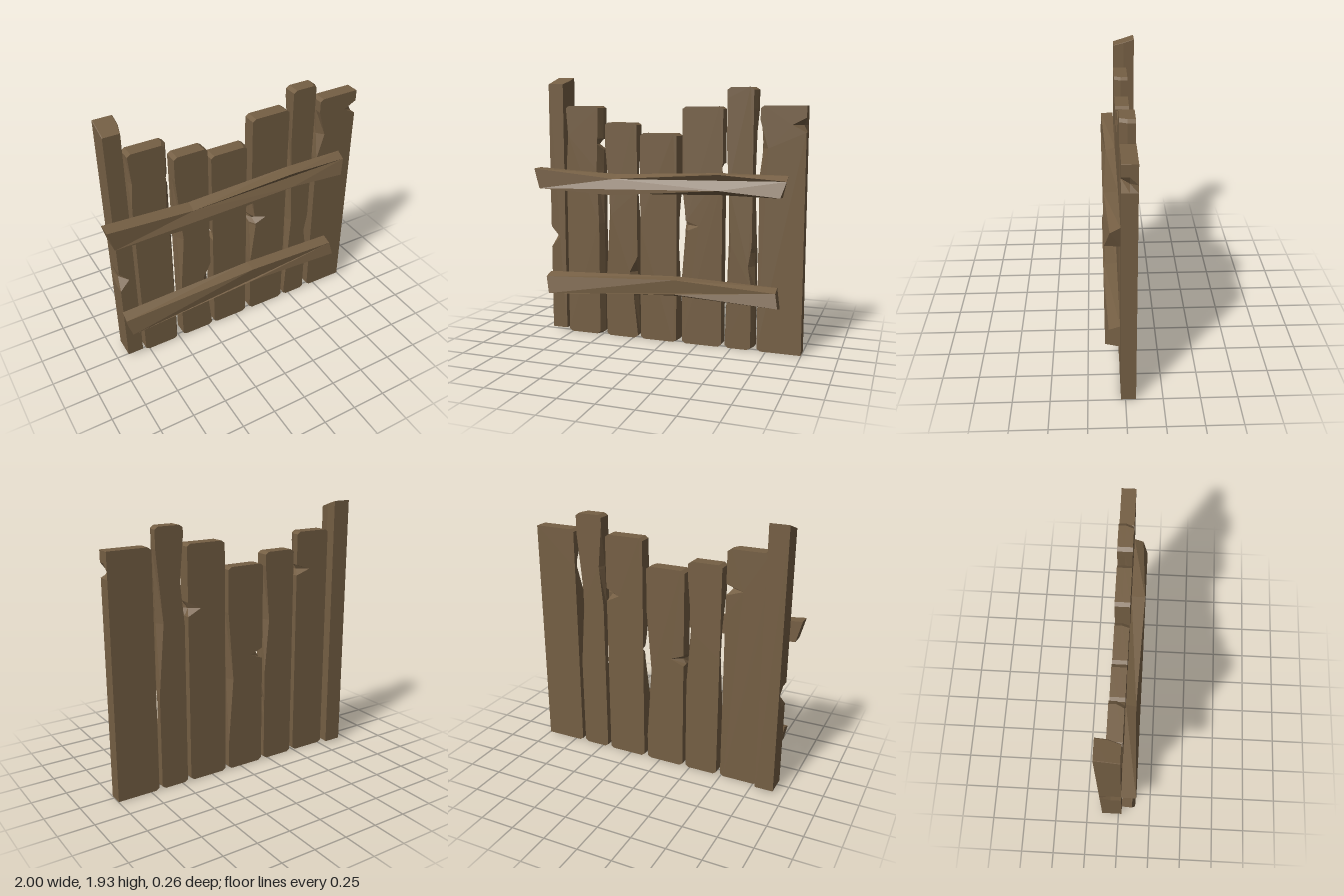
import * as THREE from 'three';

// Solid through matching outlines, listed front to back, each counter-clockwise from +z.
function layeredSolid(layers) {
  const pos = [];
  const tri = (a, b, c) => pos.push(...a, ...b, ...c);
  const cap = (pts, flip) => {
    const flat = pts.map(p => new THREE.Vector2(p[0], p[1]));
    for (const [a, b, c] of THREE.ShapeUtils.triangulateShape(flat, [])) {
      if (flip) tri(pts[a], pts[c], pts[b]);
      else tri(pts[a], pts[b], pts[c]);
    }
  };
  cap(layers[0], false);
  cap(layers[layers.length - 1], true);
  for (let k = 0; k < layers.length - 1; k++) {
    const f = layers[k], r = layers[k + 1];
    f.forEach((p, i) => {
      const j = (i + 1) % f.length;
      tri(p, r[i], f[j]);
      tri(f[j], r[i], r[j]);
    });
  }
  const geo = new THREE.BufferGeometry();
  geo.setAttribute('position', new THREE.Float32BufferAttribute(pos, 3));
  geo.computeVertexNormals();
  return geo;
}

// Wear on a board edge: a tent-shaped bite, deepest on the front (or back) face.
const wear = (y, span, depth, face = 'front') => ({ y, span, depth, face });

function wearDepth(marks, y, t) {
  let sum = 0;
  for (const m of marks) {
    const reach = m.face === 'front' ? 1 - t : t;
    sum += m.depth * reach * reach * Math.max(0, 1 - Math.abs(y - m.y) / m.span);
  }
  return sum;
}

// Upright board with clipped corners, a bevelled right edge, a sloping top and worn sides.
function board({ x0, x1, top, bottom = 0, front = 0.03, back = -0.07, slope = 0,
  clip = 0.025, clipRight = clip, bevel = 0, left = [], right = [] }) {
  return layeredSolid([0, 0.5, 1].map(t => {
    const z = front + (back - front) * t;
    const yTop = top - slope * (1 - t);
    const edge = (x, inward, cut, inset, marks) => {
      const ys = marks.flatMap(m => [m.y - m.span, m.y, m.y + m.span]).sort((a, b) => a - b);
      const at = y => [x + inward * (inset + wearDepth(marks, y, t)), y, z];
      const corner = y => [x + inward * (inset + cut), y, z];
      return [corner(bottom), ...[bottom + cut * 0.7, ...ys, yTop - cut * 0.7].map(at), corner(yTop)];
    };
    return [
      ...edge(x1, -1, clipRight, t === 0 ? bevel : 0, right),
      ...edge(x0, 1, clip, 0, left).reverse(),
    ];
  }));
}

// Cross rail through stations: top and bottom heights, underside lift and top bevel at the front.
function rail(stations) {
  const rev = [...stations].reverse();
  return layeredSolid([
    [...stations.map(s => [s.xb ?? s.x, s.bottom + s.lift, 0.13]),
      ...rev.map(s => [s.x, s.top - s.bevel, 0.13 - s.bevel])],
    [...stations.map(s => [s.xb ?? s.x, s.bottom, 0.03]), ...rev.map(s => [s.x, s.top, 0.03])],
  ]);
}

export function createModel() {
  const group = new THREE.Group();
  const wood = new THREE.MeshStandardMaterial({ color: 0x755f44 });
  wood.name = 'weathered wood';
  const add = (name, geo) => {
    const mesh = new THREE.Mesh(geo, wood);
    mesh.name = name;
    group.add(mesh);
  };

  // Tall post with a slanted top, nicked on its outer edge
  add('post', board({
    x0: -0.92, x1: -0.785, top: 1.93, bottom: 0.02, front: 0.025, back: -0.13,
    slope: 0.05, clip: 0.004, bevel: 0.018, left: [wear(0.73, 0.08, 0.07)],
  }));

  // Six worn planks with hollows and splits along their edges
  const planks = [
    { x0: -0.778, x1: -0.495, top: 1.72, bevel: 0.025,
      left: [wear(1.5, 0.2, 0.015)],
      right: [wear(1.25, 0.4, 0.015), wear(1.44, 0.04, 0.12, 'back')] },
    { x0: -0.463, x1: -0.215, top: 1.6,
      left: [wear(0.92, 0.5, 0.042)],
      right: [wear(0.32, 0.28, 0.03), wear(0.5, 0.12, 0.05), wear(1.1, 0.4, 0.035, 'back')] },
    { x0: -0.19, x1: 0.102, top: 1.525, bevel: 0.014,
      left: [wear(0.86, 0.04, 0.1, 'back')],
      right: [wear(0.7, 0.5, 0.04, 'back')] },
    { x0: 0.132, x1: 0.426, top: 1.715,
      left: [wear(0.82, 0.32, 0.04), wear(0.87, 0.035, 0.09)],
      right: [wear(1.27, 0.05, 0.1, 'back')] },
    { x0: 0.455, x1: 0.66, top: 1.845, bevel: 0.02,
      left: [wear(0.75, 0.7, 0.035), wear(1.47, 0.3, 0.03, 'back')],
      right: [wear(0.6, 0.15, 0.025), wear(1.2, 0.5, 0.045, 'back')] },
    { x0: 0.687, x1: 0.998, top: 1.72, clipRight: 0.002,
      left: [wear(1.43, 0.19, 0.055)],
      right: [wear(1.59, 0.05, 0.095)] },
  ];
  planks.forEach((p, i) => add('plank' + (i + 1), board(p)));

  // Two crooked cross rails on the front
  add('upperRail', rail([
    { x: -1, xb: -0.96, top: 1.26, bottom: 1.11, lift: 0, bevel: 0.003 },
    { x: -0.37, top: 1.225, bottom: 1.08, lift: 0, bevel: 0.03 },
    { x: 0.42, top: 1.255, bottom: 1.1, lift: 0.04, bevel: 0.005 },
    { x: 0.885, xb: 0.85, top: 1.25, bottom: 1.1, lift: 0.005, bevel: 0.035 },
  ]));
  add('lowerRail', rail([
    { x: -0.93, xb: -0.9, top: 0.46, bottom: 0.31, lift: 0, bevel: 0.025 },
    { x: 0.1, top: 0.495, bottom: 0.35, lift: 0.035, bevel: 0.008 },
    { x: 0.825, xb: 0.845, top: 0.47, bottom: 0.32, lift: 0.025, bevel: 0.025 },
  ]));
  return group;
}
